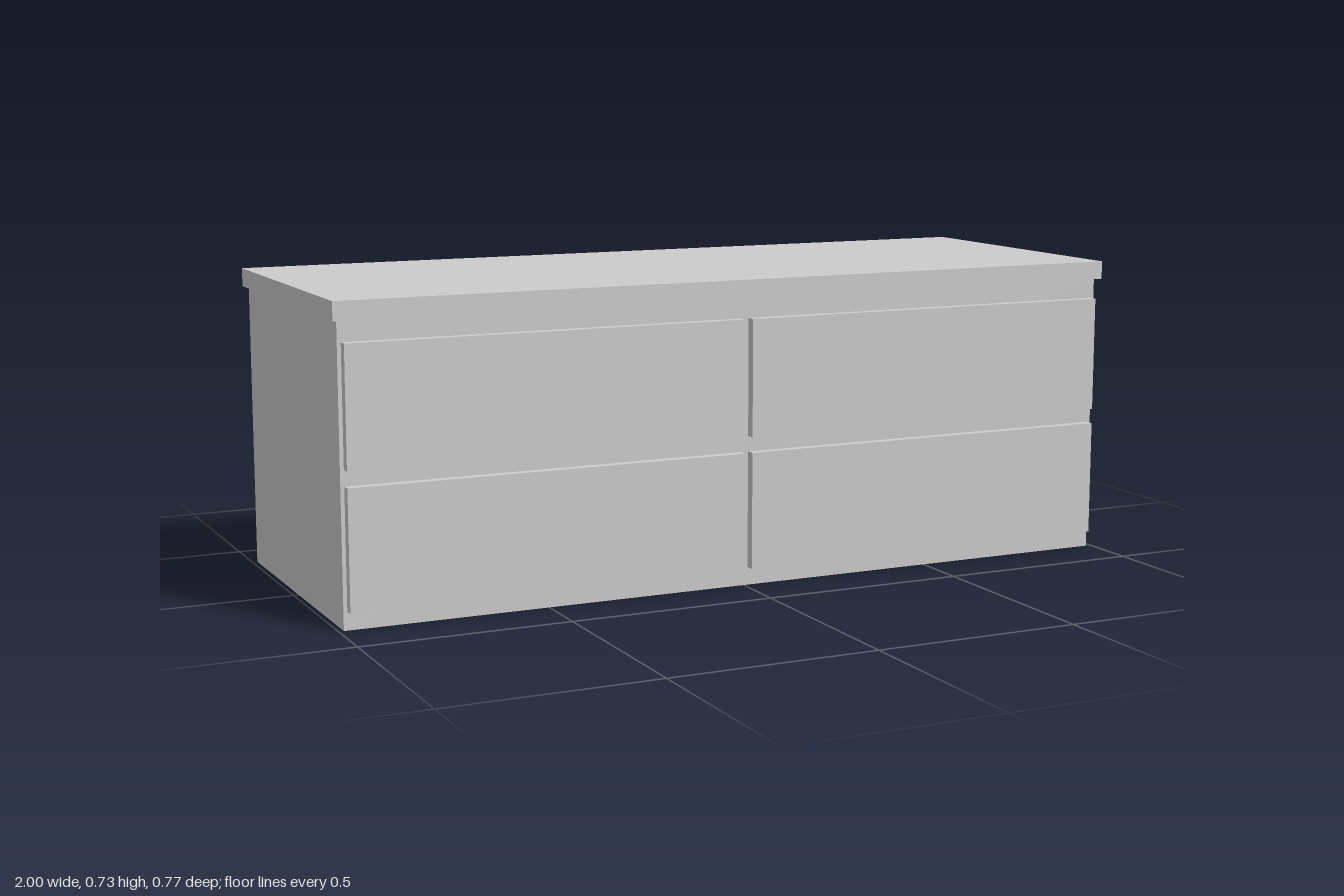
import * as THREE from 'three';

export function createModel() {
  const model = new THREE.Group();
  model.name = 'drawerChest';
  const material = new THREE.MeshStandardMaterial({ color: 0xcccccc });

  // Box given by its [min, max] extent along each axis
  const addBox = (name, [x0, x1], [y0, y1], [z0, z1]) => {
    const mesh = new THREE.Mesh(new THREE.BoxGeometry(x1 - x0, y1 - y0, z1 - z0), material);
    mesh.position.set((x0 + x1) / 2, (y0 + y1) / 2, (z0 + z1) / 2);
    mesh.name = name;
    model.add(mesh);
  };

  // Cabinet body and overhanging top
  addBox('cabinetBody', [-0.988, 0.986], [0, 0.69], [-0.371, 0.361]);
  addBox('topPanel', [-1, 1], [0.69, 0.734], [-0.384, 0.374]);

  // Two columns by two rows of drawer fronts
  const columns = { right: [-0.979, -0.013], left: [0.01, 0.976] };
  const rows = { Lower: [0.043, 0.324], Upper: [0.361, 0.642] };
  for (const [side, xs] of Object.entries(columns)) {
    for (const [level, ys] of Object.entries(rows)) {
      addBox(`${side}${level}DrawerFront`, xs, ys, [0.361, 0.384]);
    }
  }

  return model;
}
